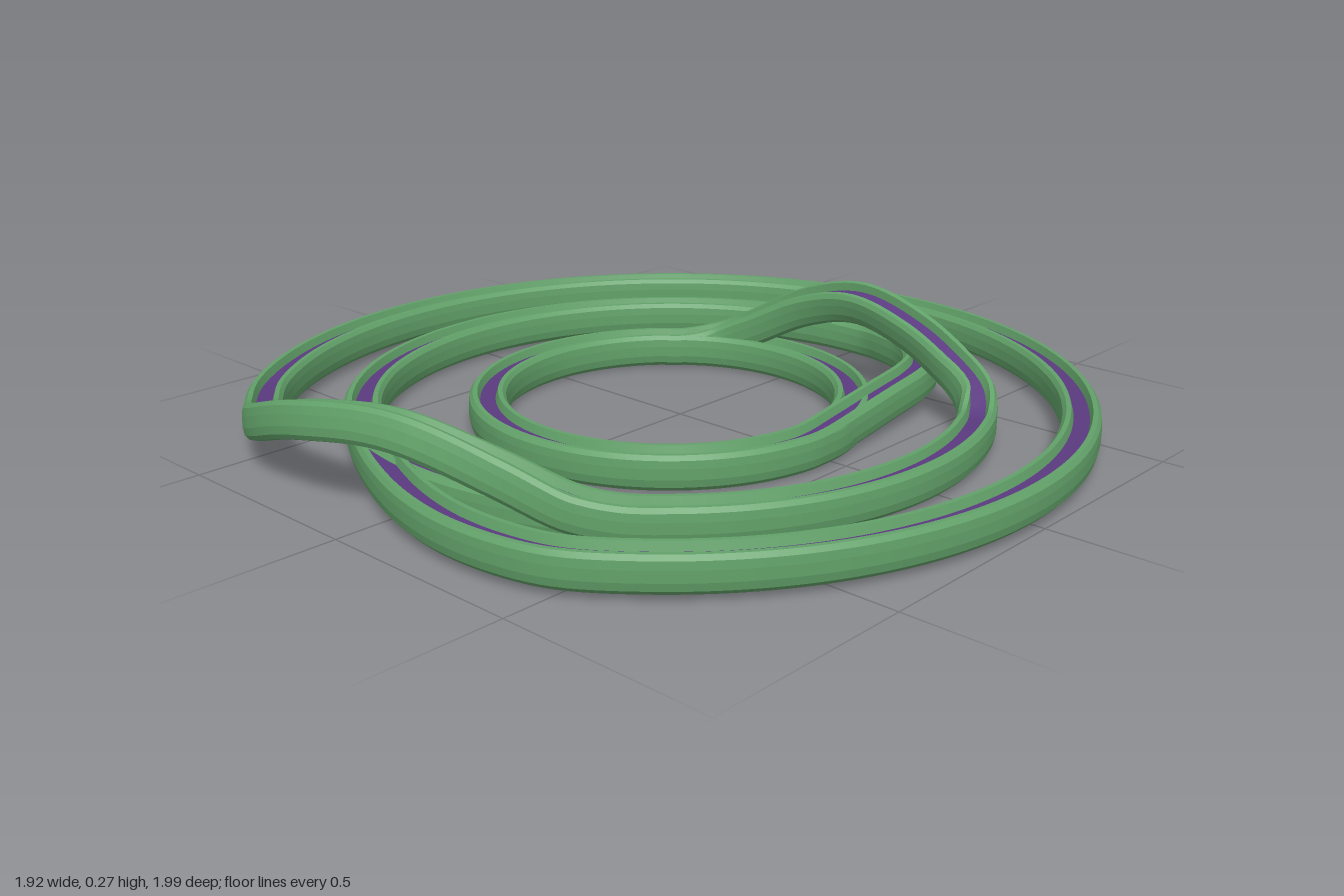
import * as THREE from 'three';

const CX = -0.034;                       // centre of the three rings
const OUTER = 0.952, MIDDLE = 0.72, INNER = 0.432;
const V = (x, y, z) => new THREE.Vector3(x, y, z);

// Half of the gutter section: groove edge, rim, rounded flank, base
const HALF = [[0.018, 0.064], [0.024, 0.083], [0.035, 0.083], [0.043, 0.073],
  [0.045, 0.055], [0.045, 0.03], [0.041, 0.012], [0.032, 0.002], [0.02, 0]];
const BODY = [...HALF.map(([s, u]) => [-s, u]), ...[...HALF].reverse()];
const FLOOR = [[0.018, 0.064], [-0.018, 0.064]];

// Points on a ring, from angle a to angle b in degrees
function arc(radius, y, a, b) {
  const n = Math.max(2, Math.round(Math.abs(b - a) / 10));
  return Array.from({ length: n + 1 }, (_, i) => {
    const t = THREE.MathUtils.degToRad(a + (b - a) * i / n);
    return V(CX + radius * Math.cos(t), y, radius * Math.sin(t));
  });
}

// Sweep a section along a path; raised stretches bank with the outer rim up
function sweep(points, closed, steps, section) {
  const curve = new THREE.CatmullRomCurve3(points, closed, 'centripetal');
  curve.arcLengthDivisions = 2000;
  const frames = [];
  for (let j = 0; j < (closed ? steps : steps + 1); j++) {
    const p = curve.getPointAt(j / steps);
    const t = curve.getTangentAt(j / steps);
    const side = t.clone().cross(V(0, 1, 0)).normalize();
    const up = side.clone().cross(t).normalize();
    const bank = Math.max(0, p.y - 0.03) * 2;
    side.applyAxisAngle(t, -bank);
    up.applyAxisAngle(t, -bank);
    frames.push({ p, side, up });
  }
  const pos = [], index = [], rows = frames.length;
  for (let i = 0; i < section.length - 1; i++) {
    const base = pos.length / 3;
    for (const f of frames) {
      for (const [s, u] of [section[i], section[i + 1]]) {
        const q = f.p.clone().addScaledVector(f.side, s).addScaledVector(f.up, u);
        pos.push(q.x, q.y, q.z);
      }
    }
    for (let j = 0; j < steps; j++) {
      const a = base + j * 2, b = base + ((j + 1) % rows) * 2;
      index.push(a, b, a + 1, b, b + 1, a + 1);
    }
  }
  const g = new THREE.BufferGeometry();
  g.setAttribute('position', new THREE.Float32BufferAttribute(pos, 3));
  g.setIndex(index);
  g.computeVertexNormals();
  return g;
}

export function createModel() {
  const model = new THREE.Group();
  model.name = 'ringTrack';
  const green = new THREE.MeshStandardMaterial({ color: 0x62a169, side: THREE.DoubleSide });
  const purple = new THREE.MeshStandardMaterial({ color: 0x5a3a80, side: THREE.DoubleSide });

  function track(name, points, closed, steps) {
    const group = new THREE.Group();
    group.name = name;
    for (const [part, section, mat] of [['Body', BODY, green], ['Groove', FLOOR, purple]]) {
      const mesh = new THREE.Mesh(sweep(points, closed, steps, section), mat);
      mesh.name = name + part;
      group.add(mesh);
    }
    model.add(group);
  }

  const loop = [
    ...arc(OUTER, 0.012, 149, -133),
    // left bridge, outer ring over to middle ring
    V(-0.80, 0.025, -0.545), V(-0.88, 0.07, -0.41), V(-0.915, 0.135, -0.2),
    V(-0.87, 0.155, 0.02), V(-0.775, 0.09, 0.2), V(-0.69, 0.025, 0.33),
    ...arc(MIDDLE, 0.004, 145, 60),
    // right bridge, middle ring over to inner ring
    V(0.385, 0.04, 0.57), V(0.41, 0.1, 0.48), V(0.435, 0.145, 0.37), V(0.452, 0.182, 0.2),
    V(0.445, 0.145, 0.05), V(0.41, 0.07, -0.09), V(0.37, 0.02, -0.19),
    ...arc(INNER, 0, -38, -268),
    // low link, inner ring out to middle ring
    V(0.1, 0.008, 0.418), V(0.25, 0.02, 0.405), V(0.4, 0.027, 0.385), V(0.5, 0.025, 0.345),
    V(0.59, 0.02, 0.26), V(0.65, 0.012, 0.15),
    ...arc(MIDDLE, 0.004, 5, -150),
    // low link, middle ring out to outer ring
    V(-0.745, 0.012, -0.21), V(-0.82, 0.014, -0.05), V(-0.87, 0.014, 0.1),
    V(-0.89, 0.012, 0.24), V(-0.882, 0.012, 0.38),
  ];
  track('mainLoop', loop, true, 560);

  // Short arcs that complete the middle and inner rings
  track('middleRingArc', arc(MIDDLE, 0.003, 210, 145), false, 40);
  track('innerRingArc', arc(INNER, 0, 92, -38), false, 60);
  return model;
}
